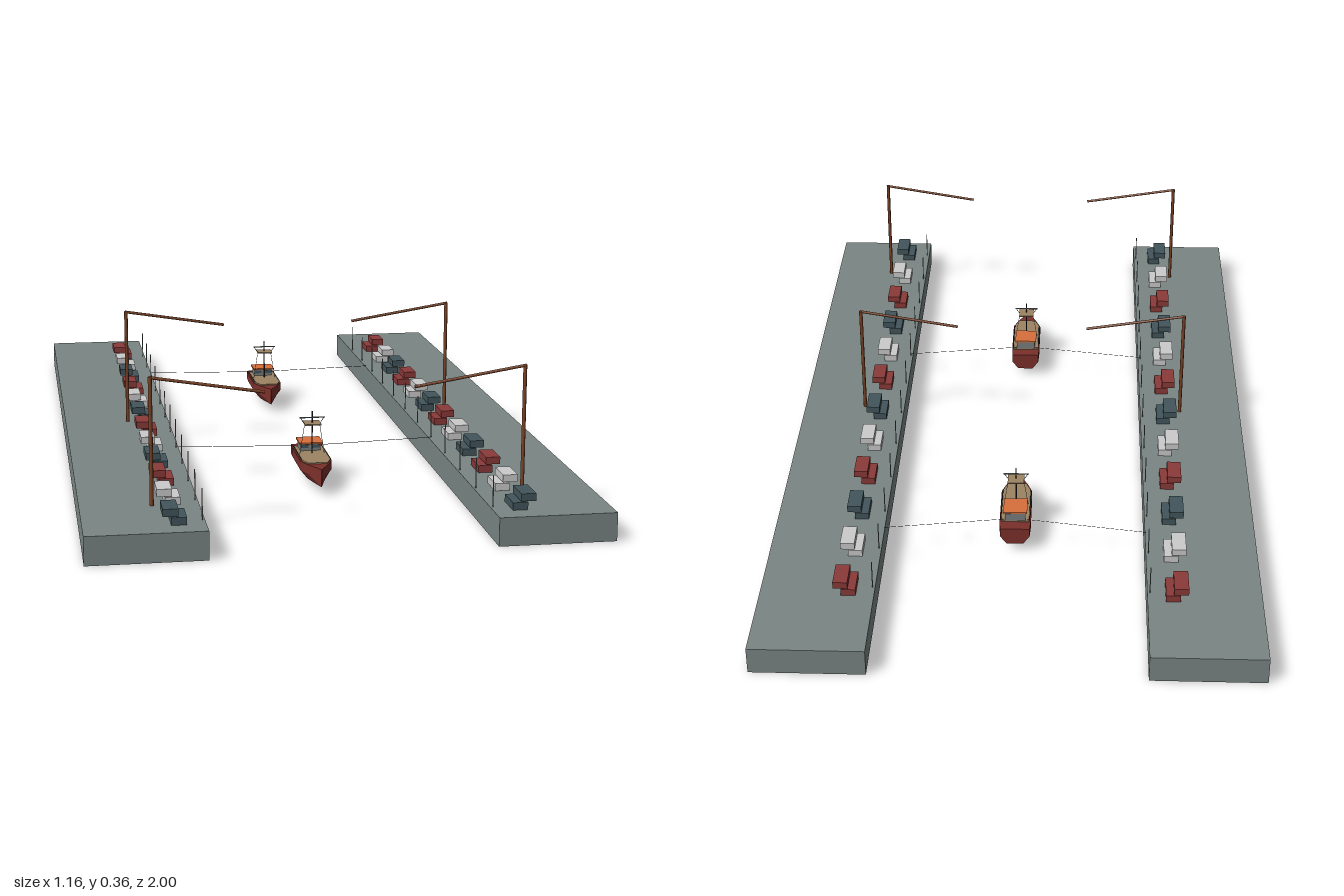
import * as THREE from 'three';

const mat = (color, opts = {}) => new THREE.MeshStandardMaterial({ color, ...opts });
const M = {
  quay: mat(0x7a8684), red: mat(0x8a3a38), white: mat(0xc8cccc), dark: mat(0x42565c),
  hull: mat(0x7c302b, { flatShading: true }), deck: mat(0x9c8463), orange: mat(0xd8703c),
  brown: mat(0x7a4326), steel: mat(0x7b8080), black: mat(0x2b3032),
};

function box(parent, name, material, [w, h, d], [x, y, z]) {
  const mesh = new THREE.Mesh(new THREE.BoxGeometry(w, h, d), material);
  mesh.name = name;
  mesh.position.set(x, y, z);
  parent.add(mesh);
  return mesh;
}

// Round bar between two points
function rod(parent, name, material, from, to, radius, sides = 6) {
  const a = new THREE.Vector3(...from), b = new THREE.Vector3(...to);
  const dir = b.clone().sub(a);
  const mesh = new THREE.Mesh(new THREE.CylinderGeometry(radius, radius, dir.length(), sides), material);
  mesh.name = name;
  mesh.position.copy(a).add(b).multiplyScalar(0.5);
  mesh.quaternion.setFromUnitVectors(new THREE.Vector3(0, 1, 0), dir.normalize());
  parent.add(mesh);
}

// Hull: hard-chined cross-sections from stern to a vertical stem
function hullGeometry() {
  const sections = [[-0.123, 0.036, 0.02], [-0.09, 0.038, 0.022], [0.04, 0.038, 0.021],
    [0.072, 0.026, 0.014], [0.121, 0.0006, 0.0004]];
  const pos = [], idx = [], n = 6;
  for (const [z, w, b] of sections) {
    for (const [x, y] of [[-w, 0.065], [-w, 0.043], [-b, 0.022], [b, 0.022], [w, 0.043], [w, 0.065]]) pos.push(x, y, z);
  }
  for (let i = 0; i < sections.length - 1; i++) {
    for (let j = 0; j < n; j++) {
      const k = (j + 1) % n, p = i * n, q = p + n;
      idx.push(p + j, p + k, q + k, p + j, q + k, q + j);
    }
  }
  const last = (sections.length - 1) * n;
  for (let j = 1; j < n - 1; j++) idx.push(0, j + 1, j, last, last + j, last + j + 1);
  const g = new THREE.BufferGeometry();
  g.setAttribute('position', new THREE.Float32BufferAttribute(pos, 3));
  g.setIndex(idx);
  g.computeVertexNormals();
  return g;
}

function boat(z) {
  const g = new THREE.Group();
  g.name = 'boat';
  g.position.z = z;
  const hull = new THREE.Mesh(hullGeometry(), M.hull);
  hull.name = 'hull';
  g.add(hull);

  // Deck planking, narrowing toward the bow
  const s = new THREE.Shape([[-0.035, -0.092], [0.035, -0.092], [0.035, 0.04], [0.023, 0.07], [-0.023, 0.07], [-0.035, 0.04]]
    .map(([x, v]) => new THREE.Vector2(x, -v)));
  const deck = new THREE.Mesh(new THREE.ExtrudeGeometry(s, { depth: 0.003, bevelEnabled: false }), M.deck);
  deck.name = 'deck';
  deck.rotation.x = -Math.PI / 2;
  deck.position.y = 0.065;
  g.add(deck);

  // Cabin with windows and roof
  box(g, 'cabin', M.steel, [0.05, 0.02, 0.048], [0, 0.077, -0.067]);
  for (const x of [-0.014, 0.014]) box(g, 'cabinWindow', M.dark, [0.018, 0.008, 0.002], [x, 0.079, -0.0425]);
  box(g, 'cabinRoof', M.orange, [0.058, 0.004, 0.06], [0, 0.089, -0.06]);

  // Mast, lookout platform and crossbar
  rod(g, 'mast', M.black, [0, 0.065, -0.02], [0, 0.173, -0.02], 0.0017);
  box(g, 'lookoutPlatform', M.deck, [0.04, 0.003, 0.042], [0, 0.143, -0.02]);
  rod(g, 'crossbar', M.steel, [-0.031, 0.157, -0.02], [0.031, 0.157, -0.02], 0.0016);
  for (const side of [-1, 1]) {
    rod(g, 'stay', M.steel, [side * 0.02, 0.143, -0.02], [side * 0.029, 0.157, -0.02], 0.0008, 4);
    rod(g, 'shroud', M.steel, [side * 0.018, 0.143, -0.02], [side * 0.03, 0.067, -0.02], 0.0006, 4);
    rod(g, 'sideRail', M.black, [side * 0.035, 0.069, -0.09], [side * 0.035, 0.069, 0.04], 0.0012, 4);
    rod(g, 'mooringRope', M.black, [side * 0.003, 0.07, -0.085], [side * 0.317, 0.067, -0.129], 0.0006, 4);
  }
  return g;
}

function quay(side) {
  const g = new THREE.Group();
  g.name = side > 0 ? 'leftQuay' : 'rightQuay';
  box(g, 'quayWall', M.quay, [0.265, 0.065, 2], [side * 0.4475, 0.0325, 0]);

  // Stepped pairs of containers, each with a slim lamp post at the edge
  const colors = [M.red, M.white, M.dark];
  for (let i = 0; i < 12; i++) {
    const z = -0.765 + i * 0.153, m = colors[i % 3];
    box(g, 'lowerContainer', m, [0.034, 0.017, 0.07], [side * 0.374, 0.0745, z]);
    box(g, 'upperContainer', m, [0.034, 0.017, 0.07], [side * 0.392, 0.094, z]);
    rod(g, 'lampPost', M.steel, [side * 0.321, 0.065, z], [side * 0.321, 0.136, z], 0.0013);
  }

  // Cranes reaching over the water
  for (const z of [0.03, 0.798]) {
    rod(g, 'craneMast', M.brown, [side * 0.42, 0.066, z], [side * 0.42, 0.356, z], 0.0045, 8);
    rod(g, 'craneBoom', M.brown, [side * 0.423, 0.355, z], [side * 0.168, 0.314, z], 0.0035, 8);
  }
  return g;
}

export function createModel() {
  const model = new THREE.Group();
  model.name = 'harbour';
  model.add(quay(-1), quay(1), boat(-0.4), boat(0.44));
  return model;
}
